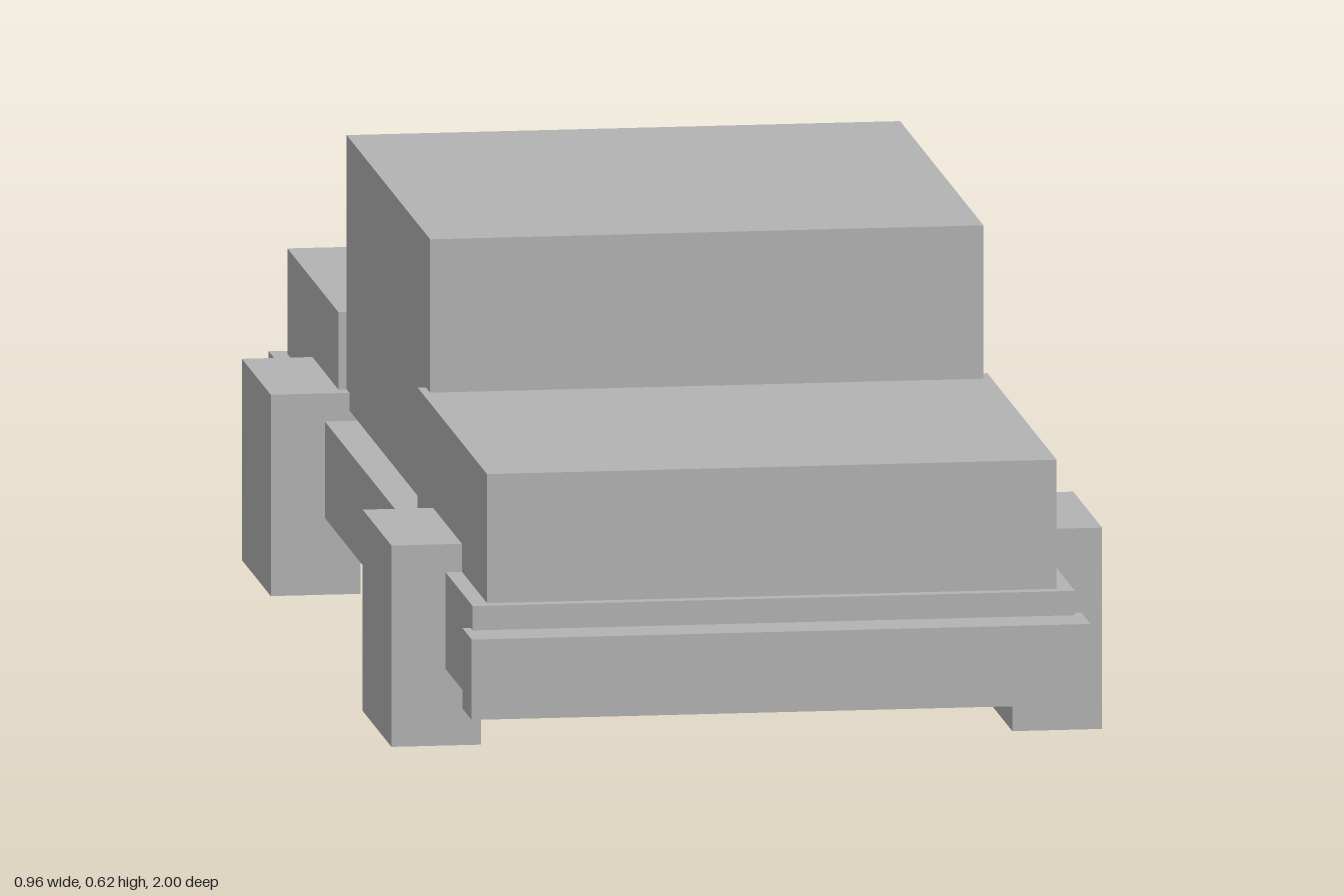
import * as THREE from 'three';

// Blocky car assembled from plain boxes
export function createModel() {
  const car = new THREE.Group();
  car.name = 'car';
  const grey = new THREE.MeshStandardMaterial({ color: 0xb3b3b3 });
  grey.name = 'grey';

  // Box given by its [min, max] extent on each axis
  function block(name, [x0, x1], [y0, y1], [z0, z1]) {
    const mesh = new THREE.Mesh(new THREE.BoxGeometry(x1 - x0, y1 - y0, z1 - z0), grey);
    mesh.position.set((x0 + x1) / 2, (y0 + y1) / 2, (z0 + z1) / 2);
    mesh.name = name;
    car.add(mesh);
  }

  // Body
  block('chassis', [-0.406, 0.406], [0.104, 0.235], [-1, 0.932]);
  block('frontBumper', [-0.417, 0.417], [0.093, 0.202], [0.913, 1]);
  block('hood', [-0.384, 0.384], [0.235, 0.41], [0.257, 0.913]);
  block('cabin', [-0.373, 0.373], [0.249, 0.618], [-0.493, 0.297]);
  block('trunk', [-0.384, 0.384], [0.235, 0.378], [-0.977, -0.493]);

  // Wheels, mirrored left and right
  for (const [end, z] of [['front', 0.539], ['rear', -0.604]]) {
    for (const [side, s] of [['Left', 1], ['Right', -1]]) {
      const x = s * 0.4185;
      block(`${end}${side}Wheel`, [x - 0.0605, x + 0.0605], [0, 0.273], [z - 0.1365, z + 0.1365]);
    }
  }
  return car;
}
